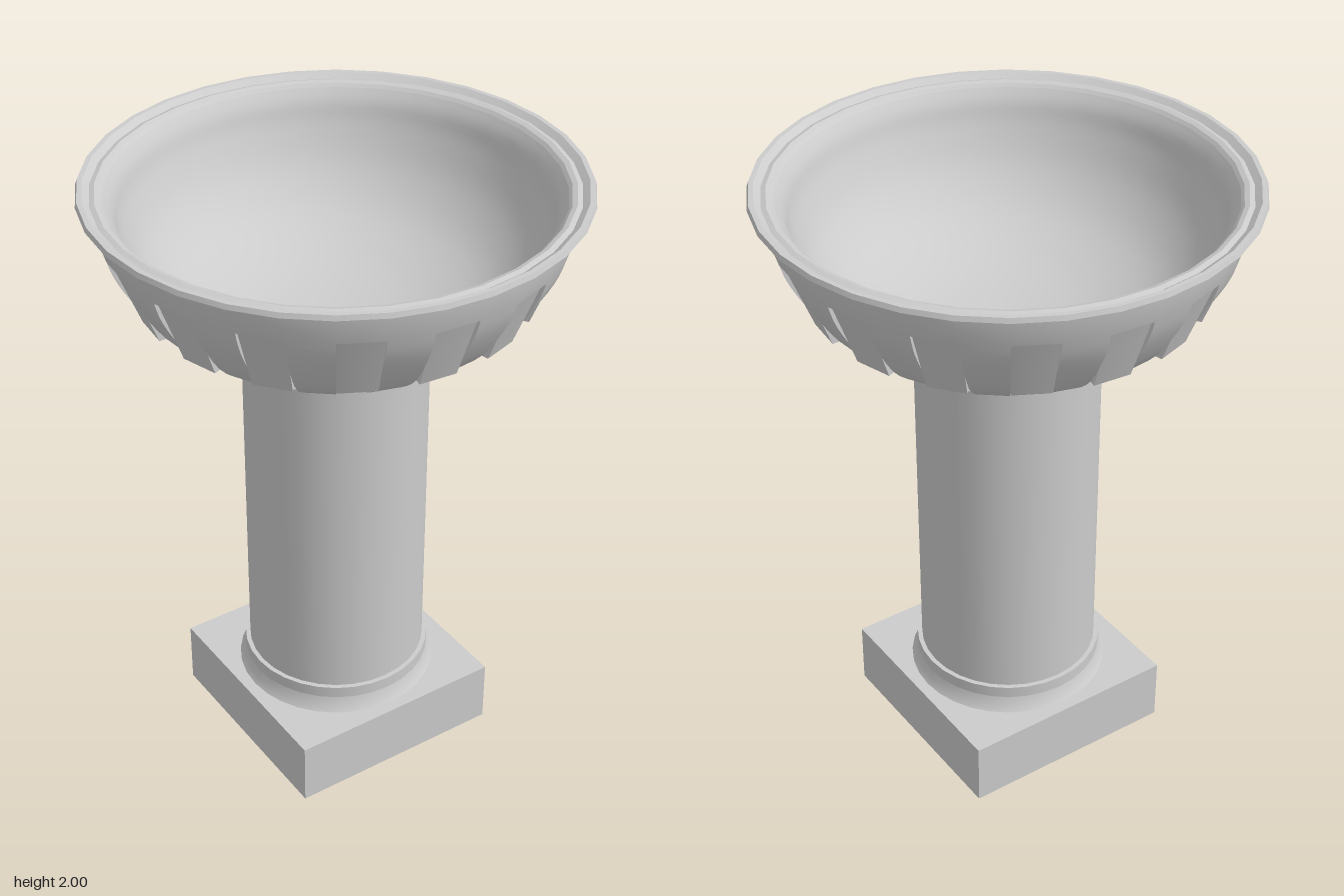
import * as THREE from 'three';

const SIDES = 32;
const STEP = (Math.PI * 2) / SIDES;
const vec = ([r, y]) => new THREE.Vector2(r, y);

export function createModel() {
  const model = new THREE.Group();
  const material = new THREE.MeshStandardMaterial({ color: 0xcccccc });
  const thin = new THREE.MeshStandardMaterial({ color: 0xcccccc, side: THREE.DoubleSide });

  function add(parent, name, geometry, mat = material) {
    const mesh = new THREE.Mesh(geometry, mat);
    mesh.name = name;
    parent.add(mesh);
    return mesh;
  }

  // A doubled point in a profile makes a sharp edge
  const turned = (profile, segments = SIDES, start = 0, length = Math.PI * 2) =>
    new THREE.LatheGeometry(profile.map(vec), segments, start, length);
  const sharp = (profile) => profile.flatMap((p) => [p, p]);

  // Square plinth
  add(model, 'plinth', new THREE.BoxGeometry(0.725, 0.215, 0.725)).position.y = 0.1075;

  // Flared foot with a flat collar
  add(model, 'columnFoot', turned([
    [0.325, 0.215], [0.311, 0.235], [0.303, 0.265], [0.303, 0.265],
    [0.305, 0.265], [0.305, 0.265], [0.305, 0.305], [0.305, 0.305], [0.285, 0.305],
  ]));

  // Plain column
  add(model, 'column', turned([[0.29, 0.3], [0.29, 1.485]]));

  const bowl = new THREE.Group();
  bowl.name = 'bowl';
  model.add(bowl);

  // Underside, up to where the flutes start
  add(bowl, 'bowlUnderside', turned([[0.2, 1.48], [0.285, 1.48], [0.285, 1.48], [0.4, 1.525]]));

  // Upper wall and moulded rim
  add(bowl, 'bowlWall', turned([[0.7, 1.88], [0.715, 1.93], [0.72, 1.978]]));
  add(bowl, 'rim', turned(sharp([
    [0.72, 1.978], [0.755, 1.985], [0.75, 2], [0.735, 2],
    [0.715, 1.985], [0.7, 1.99], [0.685, 1.985], [0.675, 1.975],
  ])));

  // Smooth basin
  const basin = new THREE.SplineCurve([
    [0.675, 1.975], [0.65, 1.935], [0.625, 1.86], [0.56, 1.74],
    [0.44, 1.63], [0.24, 1.555], [0, 1.53],
  ].map(vec));
  add(bowl, 'basin', new THREE.LatheGeometry(basin.getPoints(24), SIDES));

  // Ribs alternate with two-part panels, one side of the bowl each
  const ribCurve = new THREE.SplineCurve([
    [0.4, 1.525], [0.5, 1.588], [0.578, 1.655], [0.64, 1.745], [0.68, 1.82], [0.7, 1.88],
  ].map(vec));
  const rib = ribCurve.getPoints(12).map((p) => [p.x, p.y]);
  const panel = [[0.4, 1.525], [0.385, 1.54], [0.57, 1.66], [0.605, 1.66], [0.69, 1.88], [0.7, 1.88]];
  const ribGeometry = turned(rib, 1, 0, STEP);
  const panelGeometry = turned(sharp(panel), 1, STEP, STEP);

  // Flat cheek closing the step between a rib or panel and the bowl's core
  const core = [[0.665, 1.88], [0.62, 1.78], [0.55, 1.68], [0.385, 1.54]];
  const ribCheek = new THREE.ShapeGeometry(new THREE.Shape([...rib, ...core].map(vec)));
  const panelCheek = new THREE.ShapeGeometry(new THREE.Shape(
    [[0.57, 1.66], [0.605, 1.66], [0.69, 1.88], [0.665, 1.88], [0.62, 1.78]].map(vec)));

  for (let i = 0; i < SIDES / 2; i++) {
    const flute = new THREE.Group();
    flute.name = 'flute';
    flute.rotation.y = i * 2 * STEP;
    bowl.add(flute);
    add(flute, 'rib', ribGeometry);
    add(flute, 'flutePanel', panelGeometry, thin);
    for (const edge of [0, STEP]) {
      add(flute, 'ribCheek', ribCheek, thin).rotation.y = edge - Math.PI / 2;
      add(flute, 'panelCheek', panelCheek, thin).rotation.y = edge - Math.PI / 2;
    }
  }
  return model;
}
